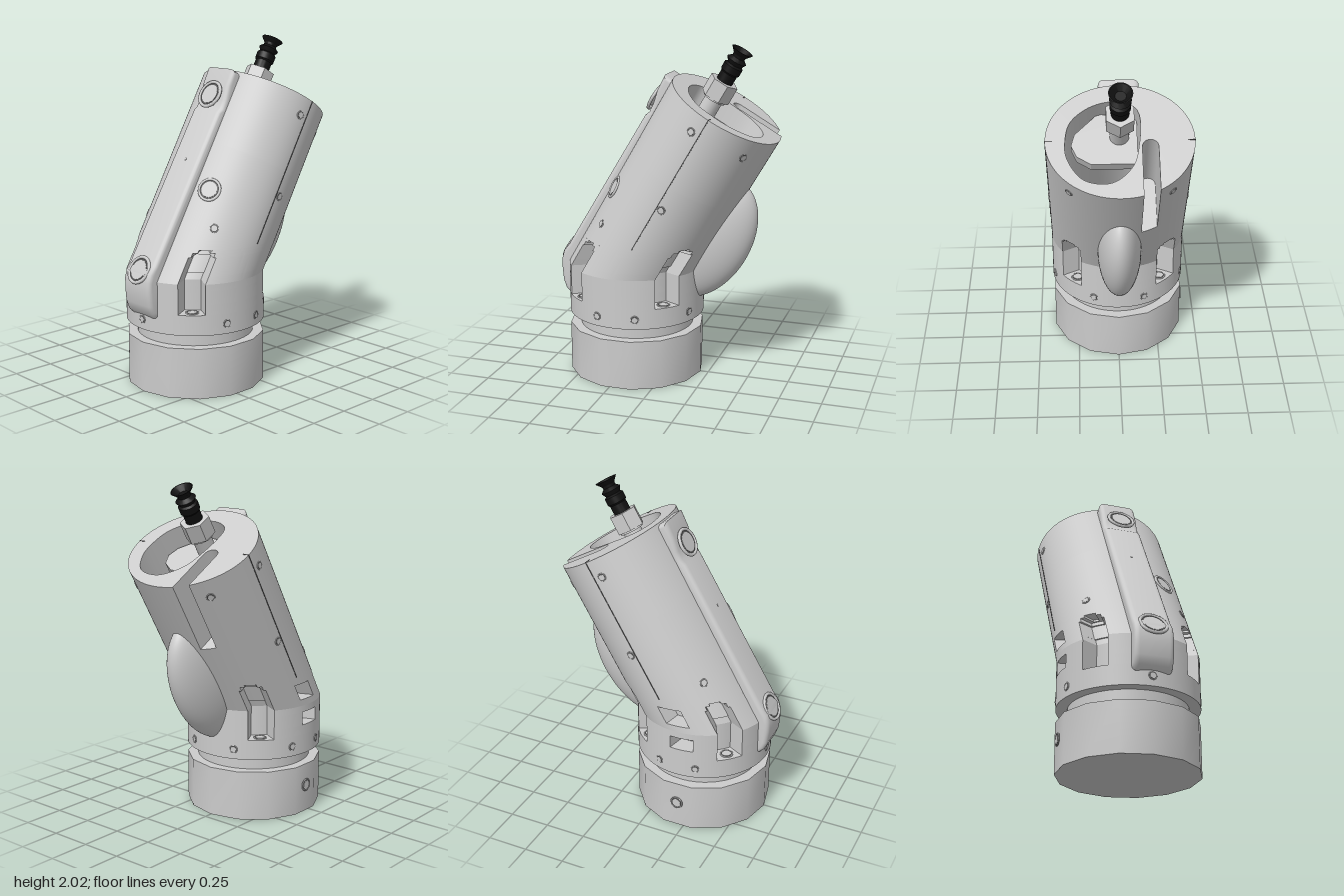
import * as THREE from 'three';
import { toCreasedNormals } from 'three/addons/utils/BufferGeometryUtils.js';

const grey = new THREE.MeshStandardMaterial({ color: 0xcccccc, side: THREE.DoubleSide });
const black = new THREE.MeshStandardMaterial({ color: 0x111111, side: THREE.DoubleSide });
const dark = new THREE.MeshStandardMaterial({ color: 0x555555 });
const RX = 0.41, RZ = 0.355, TILT = Math.PI / 6, JOINT = 0.68, CZ = 0.21, TOP = 1.12;
const rad = THREE.MathUtils.degToRad;

function add(parent, name, geo, mat = grey, x = 0, y = 0, z = 0) {
  const m = new THREE.Mesh(geo, mat);
  m.name = name;
  m.position.set(x, y, z);
  parent.add(m);
  return m;
}

// Upright prism from an [x, z] outline; rule may move each vertex
function prism(outline, y0, y1, hole, rule) {
  const toV = ([x, z]) => new THREE.Vector2(x, -z);
  const shape = new THREE.Shape(outline.map(toV));
  if (hole) shape.holes.push(new THREE.Path(hole.map(toV)));
  const g = new THREE.ExtrudeGeometry(shape, { depth: y1 - y0, bevelEnabled: false });
  g.rotateX(-Math.PI / 2).translate(0, y0, 0);
  if (rule) {
    const p = g.attributes.position, v = new THREE.Vector3();
    for (let i = 0; i < p.count; i++) {
      rule(v.fromBufferAttribute(p, i));
      p.setXYZ(i, v.x, v.y, v.z);
    }
  }
  return toCreasedNormals(g, 0.5);
}

// Circle of radius RX with sunken radial slots
function slottedCircle(slots) {
  const pts = [];
  for (let d = 0; d < 360; d += 2) {
    let r = RX;
    for (const s of slots) {
      if (Math.abs(((d - s.at + 540) % 360) - 180) <= s.half) r = s.r;
    }
    pts.push([r * Math.cos(rad(d)), r * Math.sin(rad(d))]);
  }
  return pts;
}

// Oval sleeve section, optionally with the cable channel open to the rear
function sleeveOutline(channel) {
  const pts = [];
  let cut = false;
  for (let i = 0; i < 180; i++) {
    const a = rad(i * 2), x = RX * Math.sin(a), z = RZ * Math.cos(a);
    if (channel && z < 0 && x < -0.12 && x > -0.21) {
      if (cut) continue;
      cut = true;
      pts.push([-0.12, -RZ * Math.sqrt(1 - (0.12 / RX) ** 2)]);
      for (let k = 0; k <= 12; k++) {
        const b = (k / 12) * Math.PI;
        pts.push([-0.165 + 0.045 * Math.cos(b), -0.04 + 0.045 * Math.sin(b)]);
      }
      pts.push([-0.21, -RZ * Math.sqrt(1 - (0.21 / RX) ** 2)]);
    } else pts.push([x, z]);
  }
  return pts;
}

// Recessed-looking socket: rim ring with a flat centre, facing +z
function socket(parent, name, r, pos, normal) {
  const g = new THREE.Group();
  g.name = name;
  add(g, 'rim', new THREE.TorusGeometry(r, r * 0.13, 8, 28));
  add(g, 'recess', new THREE.CircleGeometry(r, 28), dark, 0, 0, 0.002);
  add(g, 'core', new THREE.CylinderGeometry(r * 0.75, r * 0.75, 0.008, 24).rotateX(Math.PI / 2));
  g.position.copy(pos);
  g.quaternion.setFromUnitVectors(new THREE.Vector3(0, 0, 1), normal.normalize());
  parent.add(g);
}

export function createModel() {
  const model = new THREE.Group();
  model.name = 'tiltedToolHousing';

  // Base and neck
  add(model, 'base', toCreasedNormals(new THREE.CylinderGeometry(RX, RX, 0.3, 14), 0.6), grey, 0, 0.15, CZ);
  add(model, 'neck', new THREE.CylinderGeometry(0.345, 0.345, 0.1, 48), grey, 0, 0.34, CZ);

  // Collar in layers: upright below the joint, sheared backwards above it
  const corners = (half, r) => [45, 135, 225, 315].map((at) => ({ at, half, r }));
  const port = { at: 176, half: 8, r: 0.3 };
  const layers = [
    [0.38, 0.5, []],
    [0.5, 0.56, corners(10, 0.3)],
    [0.56, 0.64, [...corners(10, 0.3), port]],
    [0.64, 0.68, corners(10, 0.3)],
    [0.68, 0.72, corners(10, 0.3)],
    [0.72, 0.82, [...corners(10, 0.31), port]],
    [0.82, 0.845, corners(8, 0.32)],
    [0.845, 0.86, corners(4, 0.33)],
  ];
  const lean = (v) => { v.z -= Math.tan(TILT) * Math.max(0, v.y - JOINT); };
  for (const [y0, y1, slots] of layers) {
    add(model, 'collar', prism(slottedCircle(slots), y0, y1, null, lean), grey, 0, 0, CZ);
  }

  // Bolts on the slot floors
  for (const d of [45, 135, 225, 315]) {
    socket(model, 'slotBolt', 0.035, new THREE.Vector3(0.355 * Math.cos(rad(d)), 0.501, CZ + 0.355 * Math.sin(rad(d))),
      new THREE.Vector3(0, 1, 0));
  }

  // Small screws around the collar, and the base port
  for (const d of [16, -17, -68, 90, 164, 197, 248]) {
    const n = new THREE.Vector3(Math.cos(rad(d)), 0, Math.sin(rad(d)));
    socket(model, 'collarScrew', 0.022, n.clone().multiplyScalar(RX).add(new THREE.Vector3(0, 0.44, CZ)), n);
  }
  socket(model, 'basePort', 0.035, new THREE.Vector3(-RX, 0.17, CZ), new THREE.Vector3(-1, 0, 0));

  // Front ridge: side profile [z, y] with rounded edges
  const ridge = new THREE.Shape([
    [0.48, 0.47], [0.61, 0.46], [0.64, 0.49], [0.658, 0.54], [0.665, 0.62], [0.664, 0.68], [0.65, 0.73],
    [0.615, 0.775], [0.12, 1.6], [0.095, 1.62], [0.07, 1.67], [0.045, 1.75], [0, 1.84], [-0.085, 1.79], [0.44, 0.88],
  ].map(([z, y]) => new THREE.Vector2(z, y)));
  const ridgeGeo = new THREE.ExtrudeGeometry(ridge, {
    depth: 0.17, bevelThickness: 0.03, bevelSize: 0.025, bevelOffset: -0.025, bevelSegments: 4,
  });
  ridgeGeo.translate(0, 0, -0.085).rotateY(-Math.PI / 2);
  add(model, 'frontRidge', toCreasedNormals(ridgeGeo, 0.6));

  // Leaning sleeve
  const body = new THREE.Group();
  body.name = 'leaningBody';
  body.position.set(0, JOINT, CZ);
  body.rotation.x = -TILT;
  model.add(body);
  const cavity = new THREE.CatmullRomCurve3([
    [-0.1, 0.19], [0, 0.246], [0.15, 0.22], [0.27, 0.12], [0.3, 0], [0.29, -0.11],
    [0.2, -0.24], [0.05, -0.26], [-0.06, -0.17], [-0.1, -0.05],
  ].map(([x, z]) => new THREE.Vector3(x, 0, z)), true).getPoints(60).slice(0, 60).map((p) => [p.x, p.z]);
  const mid = 0.67;
  add(body, 'lowerSleeve', prism(sleeveOutline(false), 0, mid, cavity, (v) => {
    if (v.y < 0.01) v.y = 0.18 / Math.cos(TILT) - Math.tan(TILT) * v.z;
  }));
  add(body, 'upperSleeve', prism(sleeveOutline(true), mid, TOP, cavity));

  // Rear pod
  add(body, 'rearPod', new THREE.SphereGeometry(1, 32, 32, Math.PI, Math.PI), grey, 0, 0.38, -0.3)
    .scale.set(0.13, 0.41, 0.258);

  // Seams and screws on the sleeve
  const onSleeve = (name, r, a, t) => socket(body, name, r,
    new THREE.Vector3(RX * Math.sin(a), t, RZ * Math.cos(a)),
    new THREE.Vector3(Math.sin(a) / RX, 0, Math.cos(a) / RZ));
  for (const s of [1, -1]) {
    add(body, 'seam', new THREE.BoxGeometry(0.004, 0.9, 0.006), dark, s * RX, 0.67, 0);
    add(body, 'rimSeam', new THREE.BoxGeometry(0.04, 0.004, 0.006), dark, s * 0.39, TOP, 0);
    for (const [z, t] of [[0.25, 0.2], [-0.03, 0.526], [0.05, 1.01], [-0.257, 1.01]]) {
      onSleeve('sleeveScrew', 0.022, s * Math.acos(z / RZ), t);
    }
  }
  onSleeve('sideHole', 0.062, Math.asin(0.2 / RX), 0.4);

  // Large sockets and pins on the ridge
  for (const t of [0.94, -0.165]) {
    socket(body, 'ridgeSocket', 0.077, new THREE.Vector3(0, t, 0.4), new THREE.Vector3(0, 0, 1));
  }
  for (const t of [0.53, 0.265]) {
    socket(body, 'ridgePin', 0.01, new THREE.Vector3(0, t, 0.386), new THREE.Vector3(0, 0, 1));
  }

  // Inner plate carrying the fitting
  add(body, 'innerPlate', prism([[-0.1, -0.08], [0.16, -0.08], [0.24, -0.03], [0.27, 0.04], [0.25, 0.11],
    [0.12, 0.24], [-0.1, 0.22]], 0.94, 1.0));
  const fitting = new THREE.Group();
  fitting.name = 'fitting';
  fitting.position.z = 0.095;
  body.add(fitting);
  add(fitting, 'stem', new THREE.CylinderGeometry(0.055, 0.055, 0.16, 24), grey, 0, 1.07, 0);
  const hex = (r, h, y) => add(fitting, 'hexNut', toCreasedNormals(new THREE.CylinderGeometry(r, r, h, 6), 0.3), grey, 0, y, 0);
  hex(0.088, 0.11, 1.19);
  add(fitting, 'washer', new THREE.CylinderGeometry(0.07, 0.07, 0.012, 24), grey, 0, 1.13, 0);

  // Black bellows cup at the tip
  const cup = [[0, 1.24], [0.05, 1.24], [0.05, 1.3], [0.058, 1.31], [0.058, 1.35], [0.045, 1.36], [0.06, 1.385],
    [0.038, 1.405], [0.04, 1.42], [0.066, 1.45], [0.06, 1.45], [0.03, 1.42], [0, 1.42]];
  add(fitting, 'suctionCup', toCreasedNormals(
    new THREE.LatheGeometry(cup.map(([r, y]) => new THREE.Vector2(r, y)), 28), 0.5), black);

  return model;
}
